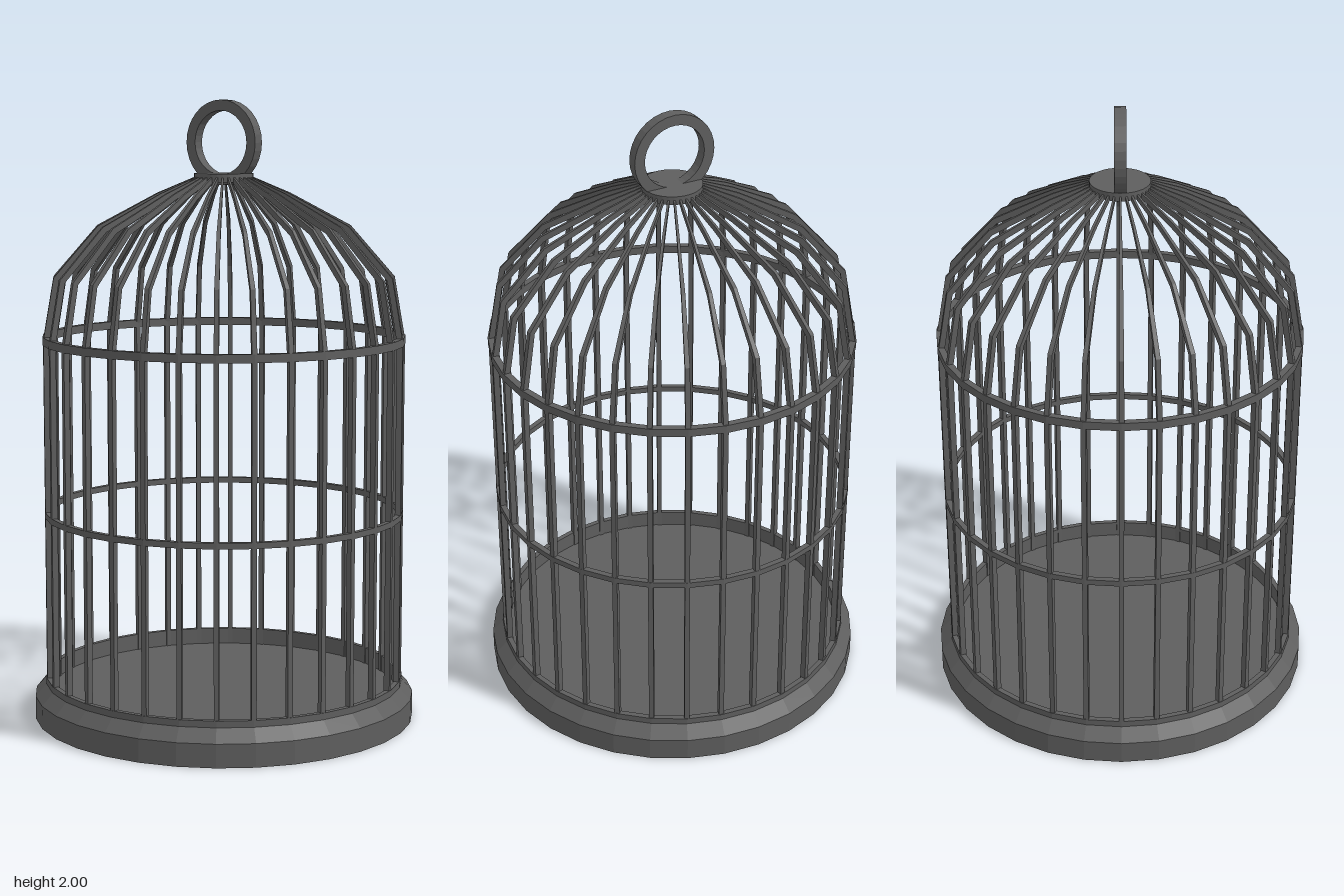
import * as THREE from 'three';

const SIDES = 32;

// Faceted copy of a geometry
function faceted(geometry) {
  const flat = geometry.toNonIndexed();
  flat.computeVertexNormals();
  return flat;
}

// Solid of revolution from [radius, height] pairs, listed bottom to top
function turned(profile) {
  return faceted(new THREE.LatheGeometry(profile.map(([r, y]) => new THREE.Vector2(r, y)), SIDES));
}

// Flat band with a rectangular section
function band(inner, outer, y0, y1) {
  return turned([[inner, y0], [outer, y0], [outer, y1], [inner, y1], [inner, y0]]);
}

// Bar swept along an upright profile: each row is
// outer radius, outer height, inner radius, inner height, half width
function barGeometry(rows) {
  const positions = [], index = [];
  for (const [ro, yo, ri, yi, w] of rows) {
    positions.push(ro, yo, w, ro, yo, -w, ri, yi, -w, ri, yi, w);
  }
  for (let i = 0; i < rows.length - 1; i++) {
    for (let j = 0; j < 4; j++) {
      const a = i * 4 + j, b = i * 4 + (j + 1) % 4;
      index.push(a, b, b + 4, a, b + 4, a + 4);
    }
  }
  const geometry = new THREE.BufferGeometry();
  geometry.setAttribute('position', new THREE.Float32BufferAttribute(positions, 3));
  geometry.setIndex(index);
  return faceted(geometry);
}

export function createModel() {
  const model = new THREE.Group();
  model.name = 'birdcage';
  const iron = new THREE.MeshStandardMaterial({ color: 0x5e5e5e });
  iron.name = 'dark iron';

  const add = (name, geometry, parent = model) => {
    const mesh = new THREE.Mesh(geometry, iron);
    mesh.name = name;
    parent.add(mesh);
    return mesh;
  };

  // Base tray: bevelled rim around a sunken floor
  add('base', turned([
    [0, 0], [0.621, 0], [0.621, 0.075], [0.585, 0.115], [0.585, 0.136],
    [0.568, 0.136], [0.568, 0.082], [0, 0.082],
  ]));

  // Hoops around the bars
  add('middleHoop', band(0.566, 0.584, 0.665, 0.684));
  add('upperHoop', band(0.564, 0.585, 1.225, 1.251));

  // Bars, upright below and bending into the dome, thinner towards the top
  const bars = new THREE.Group();
  bars.name = 'bars';
  model.add(bars);
  const bar = barGeometry([
    [0.583, 0.08, 0.564, 0.08, 0.008],
    [0.583, 1.24, 0.564, 1.24, 0.008],
    [0.548, 1.44, 0.531, 1.433, 0.0075],
    [0.406, 1.603, 0.395, 1.587, 0.006],
    [0.213, 1.706, 0.207, 1.689, 0.004],
    [0.085, 1.76, 0.081, 1.744, 0.003],
  ]);
  for (let i = 0; i < SIDES; i++) {
    add('bar', bar, bars).rotation.y = (i / SIDES) * Math.PI * 2;
  }

  // Cap and hanging ring
  add('cap', turned([[0, 1.741], [0.095, 1.741], [0.095, 1.768], [0, 1.768]]));
  const ring = add('hangingRing', band(0.101, 0.135, -0.0185, 0.0185));
  ring.rotation.x = Math.PI / 2;
  ring.position.y = 1.865;

  return model;
}
